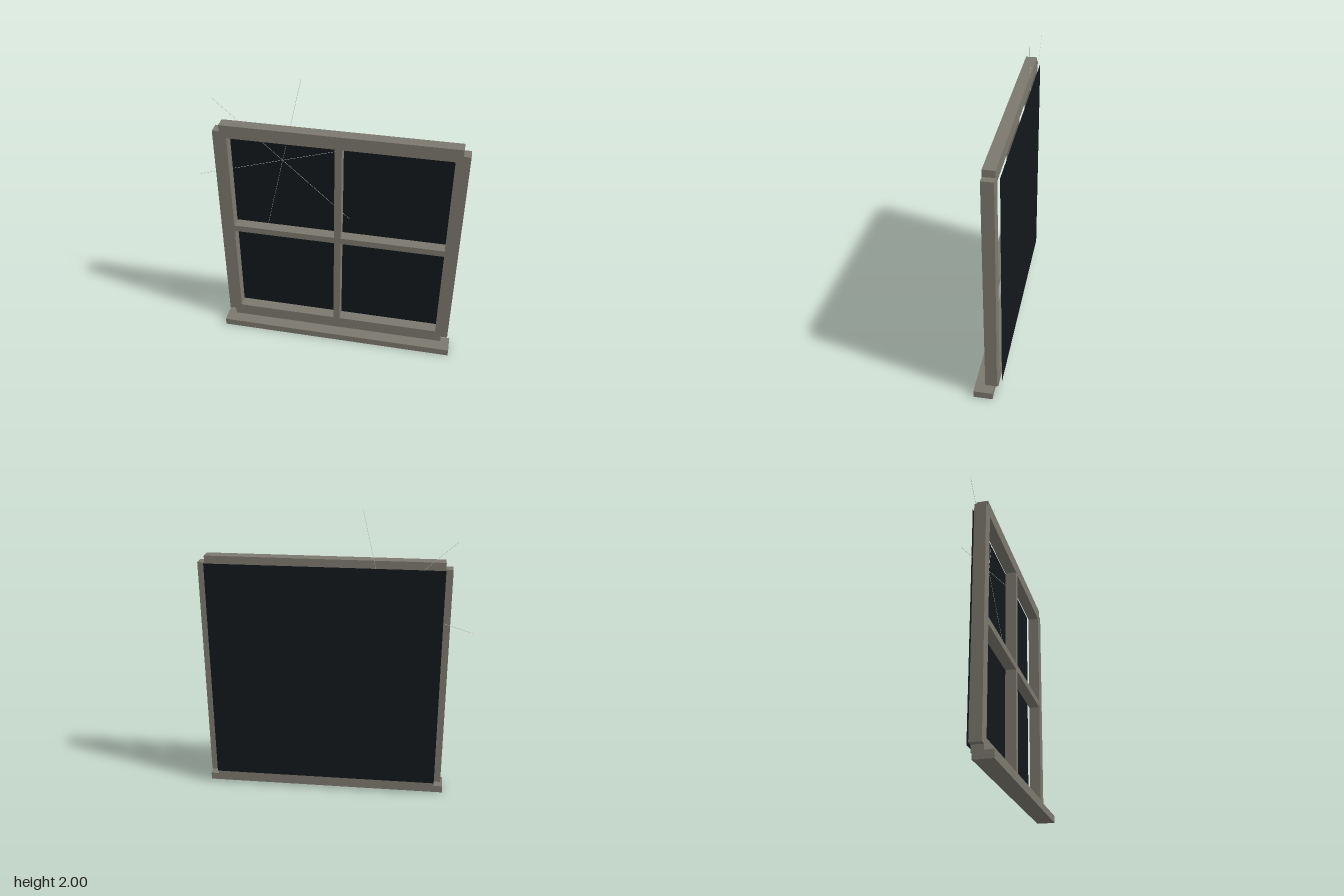
import * as THREE from 'three';

const wood = new THREE.MeshStandardMaterial({ color: 0x7b786e });
const glass = new THREE.MeshStandardMaterial({ color: 0x13181b, side: THREE.DoubleSide });
const pale = new THREE.MeshStandardMaterial({ color: 0xcccccc });

export function createModel() {
  const model = new THREE.Group();

  // Adds a box given its width, height, depth and centre
  const box = (name, [w, h, d], [x, y, z], material = wood, parent = model) => {
    const mesh = new THREE.Mesh(new THREE.BoxGeometry(w, h, d), material);
    mesh.name = name;
    mesh.position.set(x, y, z);
    parent.add(mesh);
    return mesh;
  };

  // Sill under the window
  box('sill', [1.656, 0.05, 0.124], [0.068, 0.025, 0.0255]);

  // Everything in the sash is centred on its own middle
  const sash = new THREE.Group();
  sash.name = 'sash';
  sash.position.set(0.068, 0.868, -0.0255);
  model.add(sash);

  // Outer frame: four equal bars whose ends leave notched corners
  const length = 1.53, bar = 0.09, depth = 0.076, offset = 0.765;
  for (const s of [-1, 1]) {
    box(s < 0 ? 'bottomRail' : 'topRail', [length, bar, depth], [0, s * offset, 0], wood, sash);
    box(s < 0 ? 'rightStile' : 'leftStile', [bar, length, depth], [s * offset, 0, 0], wood, sash);
  }

  // Cross bars dividing the window into four panes
  box('verticalMuntin', [0.046, 1.44, 0.074], [0, 0, 0], wood, sash);
  box('horizontalMuntin', [1.44, 0.046, 0.074], [0, 0, 0], wood, sash);

  // Thin glass sheet standing just behind the frame
  const pane = new THREE.Mesh(new THREE.PlaneGeometry(length, length), glass);
  pane.name = 'glass';
  pane.position.z = -0.0615;
  sash.add(pane);

  // Hairline cracks crossing at one point on the front of the glass
  const cracks = new THREE.Group();
  cracks.name = 'cracks';
  cracks.position.set(-0.315, 1.405, -0.085);
  model.add(cracks);
  [1.347, -0.744, 0.299].forEach((angle, i) => {
    box(`crack${i + 1}`, [1.22, 0.0015, 0.0015], [0, 0, 0], pale, cracks).rotation.z = angle;
  });

  return model;
}
